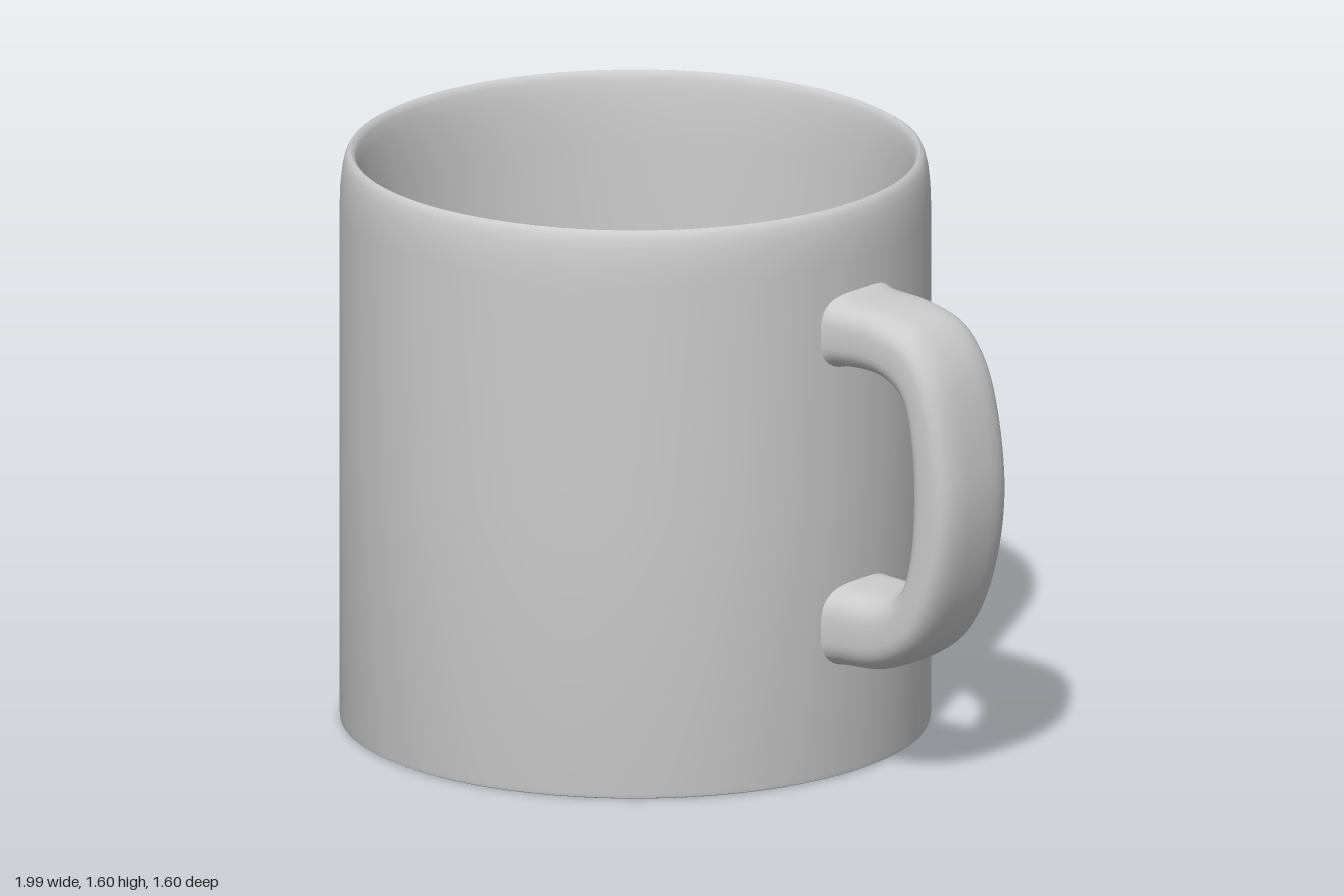
import * as THREE from 'three';
import { toCreasedNormals } from 'three/addons/utils/BufferGeometryUtils.js';

const material = new THREE.MeshStandardMaterial({ color: 0xcccccc });
const vectors = (pairs) => pairs.map(([x, y]) => new THREE.Vector2(x, y));

// Closed cup: base, outer wall, rounded rim, inner wall and floor
function createCup() {
  const profile = vectors([
    [0, 0], [0.79, 0], [0.798, 0.004], [0.8, 0.015], [0.8, 0.8], [0.8, 1.44],
    [0.798, 1.5], [0.793, 1.545], [0.786, 1.575], [0.778, 1.59], [0.77, 1.595],
    [0.762, 1.59], [0.756, 1.575], [0.75, 1.54], [0.745, 1.48], [0.74, 1.4],
    [0.74, 0.8], [0.74, 0.12], [0.732, 0.09], [0.71, 0.07], [0.67, 0.062], [0, 0.06],
  ]);
  const geometry = toCreasedNormals(new THREE.LatheGeometry(profile, 96), 0.7);
  const cup = new THREE.Mesh(geometry, material);
  cup.name = 'cup';
  return cup;
}

// Handle: rounded-rectangle sections spanning an outer and an inner outline
function createHandle() {
  const outer = new THREE.SplineCurve(vectors([
    [0.765, 1.38], [0.82, 1.352], [0.963, 1.34], [1.09, 1.29], [1.18, 1.14], [1.225, 0.86],
    [1.19, 0.61], [1.1, 0.42], [0.963, 0.33], [0.82, 0.312], [0.765, 0.305],
  ]));
  const inner = new THREE.SplineCurve(vectors([
    [0.765, 1.13], [0.82, 1.155], [0.95, 1.155], [1.03, 1.11], [1.06, 1.02], [1.07, 0.85],
    [1.06, 0.68], [1.025, 0.58], [0.95, 0.54], [0.82, 0.54], [0.765, 0.545],
  ]));
  const rings = 80, sides = 40;
  const soften = (v) => Math.sign(v) * Math.pow(Math.abs(v), 0.65);
  const positions = [], indices = [];
  for (let i = 0; i <= rings; i++) {
    const t = i / rings;
    const o = outer.getPoint(t), n = inner.getPoint(t);
    const mid = o.clone().add(n).multiplyScalar(0.5);
    const half = o.clone().sub(n).multiplyScalar(0.5);
    const width = 0.143 + 0.015 * Math.pow(Math.abs(2 * t - 1), 6);
    for (let j = 0; j < sides; j++) {
      const a = (j / sides) * Math.PI * 2;
      const c = soften(Math.cos(a)), s = soften(Math.sin(a));
      positions.push(mid.x + half.x * c, mid.y + half.y * c, width * s);
      if (i < rings) {
        const k = (j + 1) % sides;
        const p = i * sides + j, q = i * sides + k;
        indices.push(p, q, p + sides, q, q + sides, p + sides);
      }
    }
  }
  const geometry = new THREE.BufferGeometry();
  geometry.setAttribute('position', new THREE.Float32BufferAttribute(positions, 3));
  geometry.setIndex(indices);
  geometry.computeVertexNormals();
  const handle = new THREE.Mesh(geometry, material);
  handle.name = 'handle';
  handle.rotation.y = -0.302;
  return handle;
}

export function createModel() {
  const mug = new THREE.Group();
  mug.name = 'mug';
  mug.add(createCup(), createHandle());
  mug.position.x = -0.2;
  const model = new THREE.Group();
  model.add(mug);
  return model;
}
